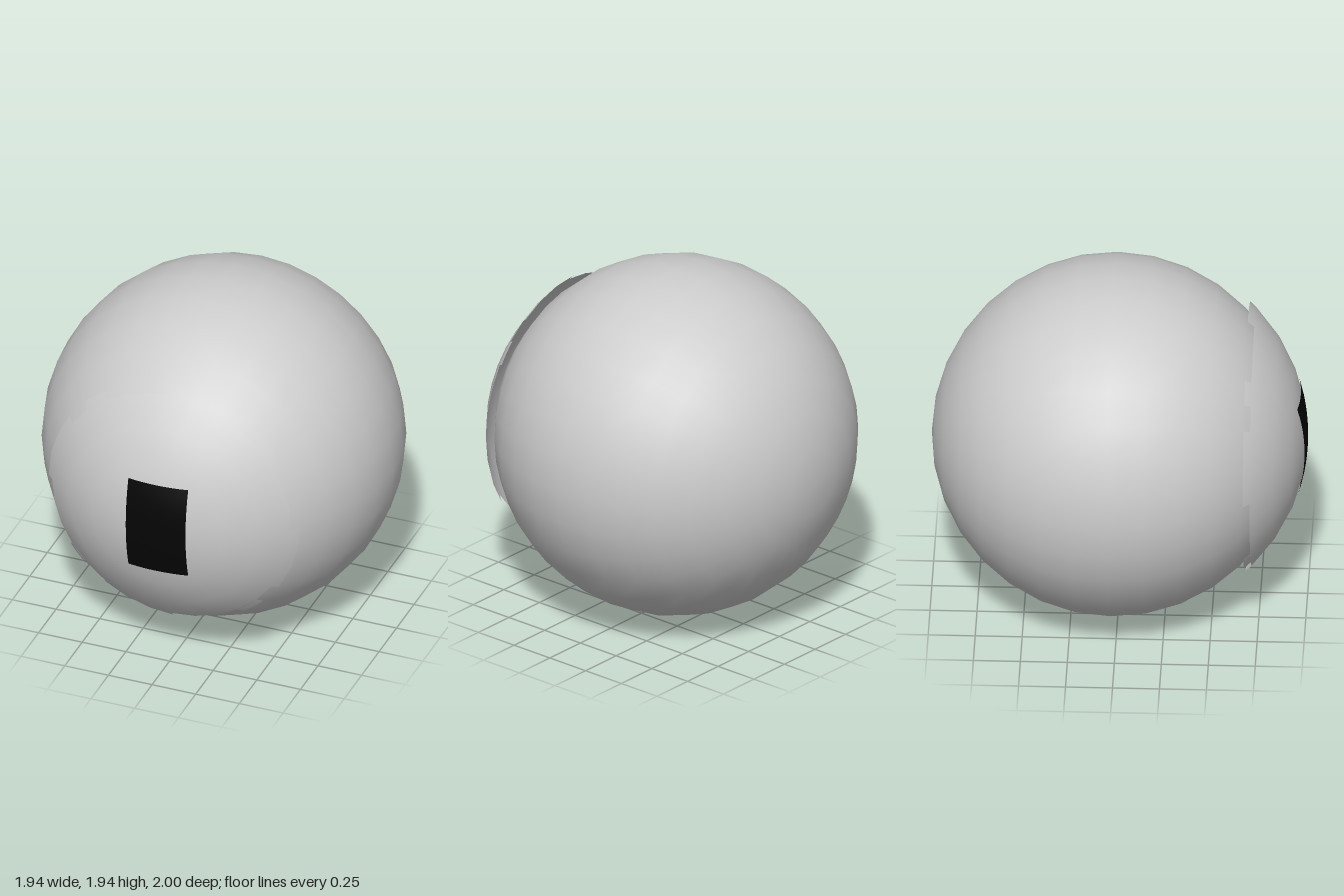
import * as THREE from 'three';

const R = 0.97;                 // ball radius
const SEG = 32;                 // facets around
const STEP = (Math.PI * 2) / SEG;
const CAP_ANGLE = STEP * 4;     // 45 degree opening
const CAP_Z = 0.03;             // cap is pushed forward of the body

// Sphere section with its pole facing +z
function frontSphere(phi0, phiLen, theta0, thetaLen, ws, hs) {
  return new THREE.SphereGeometry(R, ws, hs, phi0, phiLen, theta0, thetaLen).rotateX(Math.PI / 2);
}

export function createModel() {
  const grey = new THREE.MeshStandardMaterial({ color: 0xcccccc, side: THREE.DoubleSide });
  grey.name = 'light grey';
  const black = new THREE.MeshStandardMaterial({ color: 0x050505, side: THREE.DoubleSide });
  black.name = 'black';

  const model = new THREE.Group();
  model.name = 'ball';
  const add = (parent, name, geometry, material) => {
    const mesh = new THREE.Mesh(geometry, material);
    mesh.name = name;
    parent.add(mesh);
    return mesh;
  };

  // Main ball
  add(model, 'body', frontSphere(0, Math.PI * 2, 0, Math.PI, SEG, 16), grey).position.set(0, R, -0.03);

  // Raised front cap
  const cap = new THREE.Group();
  cap.name = 'frontCap';
  cap.position.set(0, R, CAP_Z);
  model.add(cap);
  add(cap, 'capShell', frontSphere(0, Math.PI * 2, 0, CAP_ANGLE, SEG, 4), grey);

  // Teeth on the cap rim: a wide and a narrow one per quarter, clockwise from the top
  for (let q = 0; q < 4; q++) {
    for (const [start, count] of [[0, 3], [4, 1]]) {
      const phi = -Math.PI / 2 - (q * 8 + start + count) * STEP;
      add(cap, 'capTooth', frontSphere(phi, count * STEP, CAP_ANGLE, 0.05, count, 1), grey);
    }
  }

  // Dark window wrapped over the cap
  const pane = new THREE.PlaneGeometry(0.34, 0.54, 8, 12).translate(0.015, 0, 0);
  const p = pane.attributes.position;
  for (let i = 0; i < p.count; i++) {
    p.setZ(i, Math.sqrt((R + 0.002) ** 2 - p.getX(i) ** 2 - p.getY(i) ** 2));
  }
  pane.computeVertexNormals();
  add(cap, 'window', pane, black);

  return model;
}
